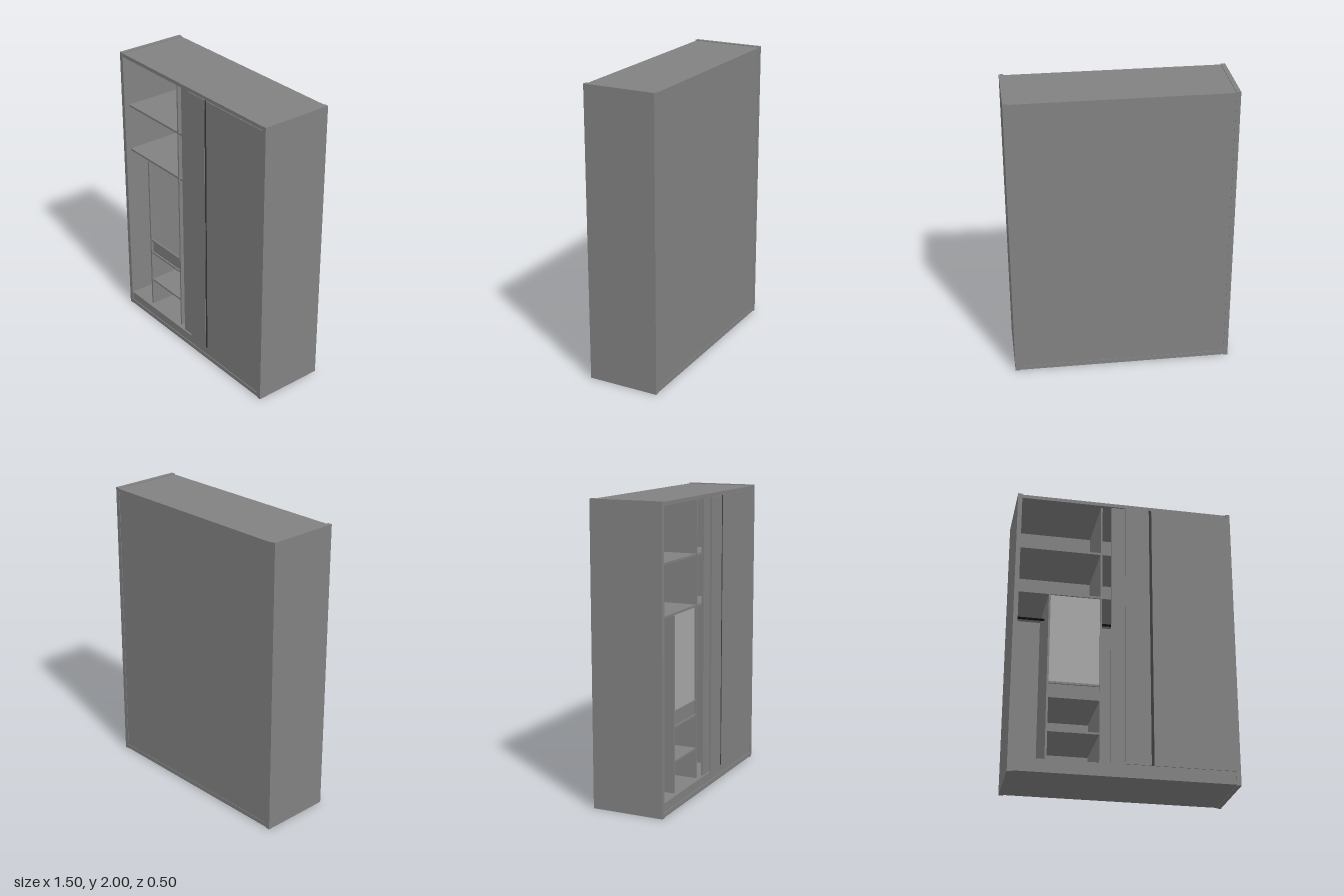
import * as THREE from 'three';

export function createModel() {
  const wardrobe = new THREE.Group();
  wardrobe.name = 'slidingDoorWardrobe';
  const wood = new THREE.MeshStandardMaterial({ color: 0x828282 });
  const mirror = new THREE.MeshStandardMaterial({ color: 0xa9a9a9 });
  const grip = new THREE.MeshStandardMaterial({ color: 0x3c3c3c });
  const black = new THREE.MeshStandardMaterial({ color: 0x101010 });

  // Board given by its limits along each axis
  function board(name, [x0, x1], [y0, y1], [z0, z1], material = wood) {
    const mesh = new THREE.Mesh(new THREE.BoxGeometry(x1 - x0, y1 - y0, z1 - z0), material);
    mesh.position.set((x0 + x1) / 2, (y0 + y1) / 2, (z0 + z1) / 2);
    mesh.name = name;
    wardrobe.add(mesh);
  }

  const W = 0.748, IN = 0.718, D = 0.248;
  const FLOOR = 0.095, CEIL = 1.97, STEP = 0.005;
  const BACK = -D + 0.015;
  const upright = [BACK, 0.215];
  const shelf = [BACK, 0.215 - STEP];

  // Carcass, with boards set slightly back between the sides
  board('rightSide', [-W, -IN], [0, 2], [-D, D]);
  board('leftSide', [IN, W], [0, 2], [-D, D]);
  board('topBoard', [-IN, IN], [CEIL, 2 - STEP], [-D, D - STEP]);
  board('bottomBoard', [-IN, IN], [STEP, 0.035], [-D, D]);
  board('kickBoard', [-IN, IN], [0.035, FLOOR], [D - 0.03, D - STEP]);
  board('floorBoard', [-IN, IN], [FLOOR - 0.03, FLOOR], [BACK, D - 0.03]);
  board('backPanel', [-IN, IN], [0.035, CEIL], [-D + 0.003, BACK]);

  // Upright dividers
  for (const x of [-0.16, 0.16]) board('divider', [x - 0.006, x + 0.006], [FLOOR, CEIL], upright);
  board('shortDivider', [-0.513, -0.5], [FLOOR, 1.265], upright);

  // Upper shelves in each bay
  const bays = [[-IN, -0.166], [-0.154, 0.154], [0.166, IN]];
  for (const bay of bays) {
    for (const y of [1.265, 1.6]) board('upperShelf', bay, [y, y + 0.015], shelf);
  }

  // Small compartment: shelves, drawer and mirror door
  const cell = [-0.5, -0.166];
  for (const y of [0.293, 0.525, 0.625]) board('smallShelf', cell, [y, y + 0.014], shelf);
  board('drawerFront', cell, [0.539, 0.625], [0.18, 0.2]);
  board('mirrorDoor', cell, [0.639, 1.265], [0.185, 0.2], mirror);

  // Hanging rails
  for (const [x0, x1] of [[-IN, -0.513], ...bays.slice(1)]) {
    const rail = new THREE.Mesh(new THREE.CylinderGeometry(0.008, 0.008, x1 - x0, 16), black);
    rail.rotation.z = Math.PI / 2;
    rail.position.set((x0 + x1) / 2, 1.175, 0);
    rail.name = 'hangingRail';
    wardrobe.add(rail);
  }

  // Sliding doors, the front one with a dark upright grip strip
  const doorY = [FLOOR, CEIL];
  board('rearDoor', [-0.095, 0.66], doorY, [0.217, 0.232]);
  board('frontDoorEdge', [0, 0.165], doorY, [0.234, D]);
  board('gripStrip', [0.165, 0.183], doorY, [0.234, D - 0.002], grip);
  board('frontDoor', [0.183, IN], doorY, [0.234, D]);

  return wardrobe;
}
